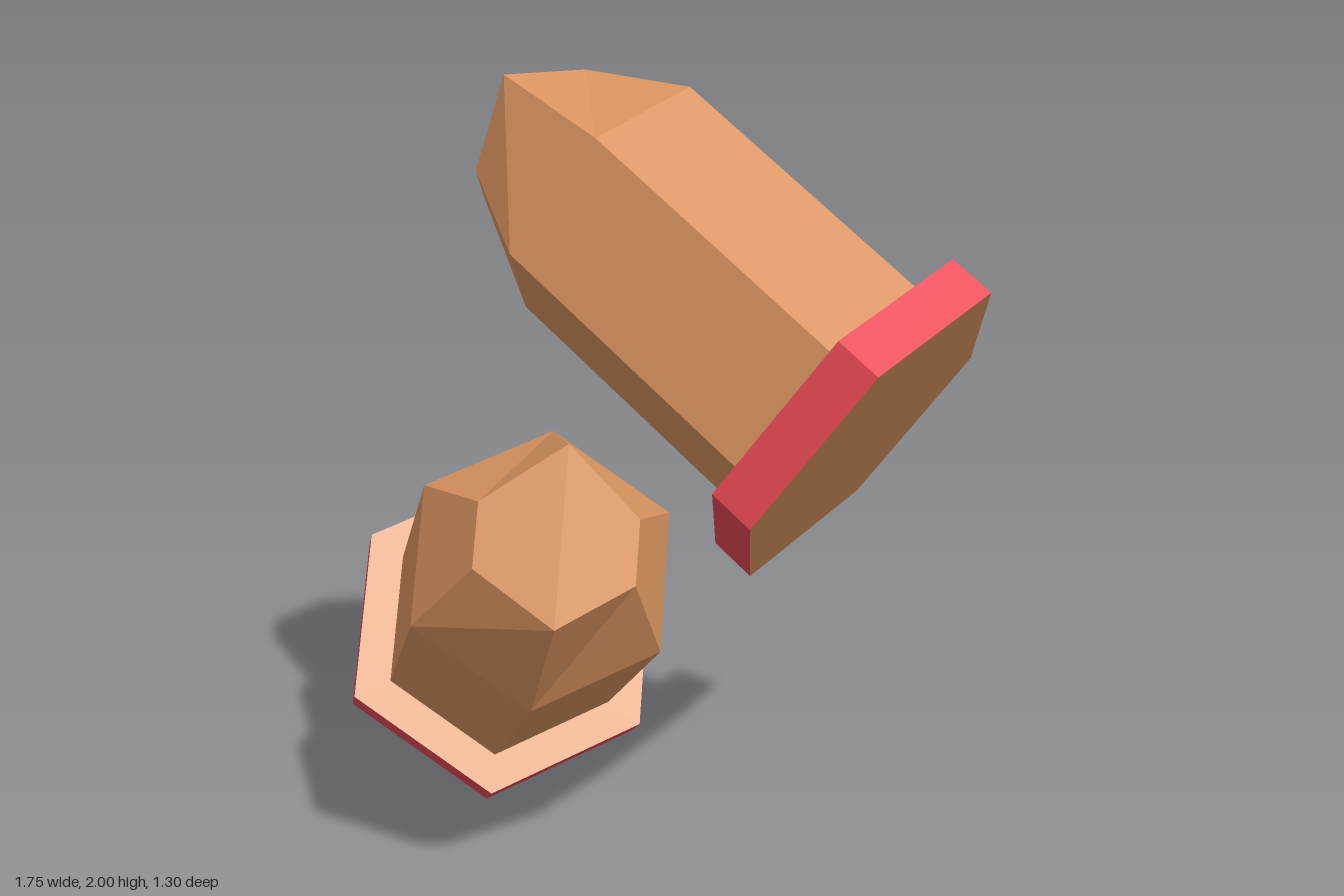
import * as THREE from 'three';

const brown = new THREE.MeshStandardMaterial({ color: 0xd8935f, flatShading: true });
const red = new THREE.MeshStandardMaterial({ color: 0xe84855, flatShading: true });

const SIDES = 6, RIM_R = 0.457, RIM_H = 0.12;
const BODY_R = 0.35, SHOULDER_Y = 0.89, TIP_R = 0.219, TIP_Y = 1.147, RIDGE_RISE = 0.075;

// Hexagonal prism with corners on the local x axis, standing between y0 and y1
function hexPrism(rTop, rBottom, y0, y1, rows, open) {
  const g = new THREE.CylinderGeometry(rTop, rBottom, y1 - y0, SIDES, rows, open, Math.PI / 2);
  return g.translate(0, (y0 + y1) / 2, 0);
}

// Straight shaft, tapered shoulder and a tip folded up into a ridge along x
function casingGeometry() {
  const g = hexPrism(TIP_R, BODY_R, RIM_H, TIP_Y, 2, false);
  const p = g.attributes.position;
  const middle = (RIM_H + TIP_Y) / 2, widen = BODY_R / ((TIP_R + BODY_R) / 2);
  for (let i = 0; i < p.count; i++) {
    const x = p.getX(i), y = p.getY(i), z = p.getZ(i);
    if (Math.abs(y - middle) < 0.01) p.setXYZ(i, x * widen, SHOULDER_Y, z * widen);
    else if (y > middle) {
      if (Math.abs(z) < 0.01) p.setY(i, y + RIDGE_RISE);
      else p.setX(i, x * 0.73);
    }
  }
  g.computeVertexNormals();
  return g;
}

function createCartridge(name, base, axis, ridge) {
  const group = new THREE.Group();
  group.name = name;
  const add = (part, geometry, material) => {
    const mesh = new THREE.Mesh(geometry, material);
    mesh.name = part;
    group.add(mesh);
  };

  add('casing', casingGeometry(), brown);
  add('rimBand', hexPrism(RIM_R, RIM_R, 0, RIM_H, 1, true), red);

  // Flat faces above and below the rim band
  const top = new THREE.CircleGeometry(RIM_R, SIDES).rotateX(-Math.PI / 2).translate(0, RIM_H, 0);
  const bottom = new THREE.CircleGeometry(RIM_R, SIDES).rotateX(Math.PI / 2);
  add('rimTop', top, brown);
  add('rimBase', bottom, brown);

  // Local y runs along the axis, local x along the tip ridge
  const y = new THREE.Vector3(...axis).normalize();
  const z = new THREE.Vector3(...ridge).cross(y).normalize();
  const x = new THREE.Vector3().crossVectors(y, z);
  group.quaternion.setFromRotationMatrix(new THREE.Matrix4().makeBasis(x, y, z));
  group.position.set(...base);
  return group;
}

export function createModel() {
  const model = new THREE.Group();
  model.name = 'cartridges';
  model.add(
    createCartridge('upperCartridge', [0.603, 1.184, 0.036], [-0.796, 0.569, -0.208], [0.186, 0.556, 0.811]),
    createCartridge('lowerCartridge', [-0.494, 0.38, -0.372], [0.405, 0.543, 0.735], [-0.1, 0.82, -0.556])
  );
  return model;
}
